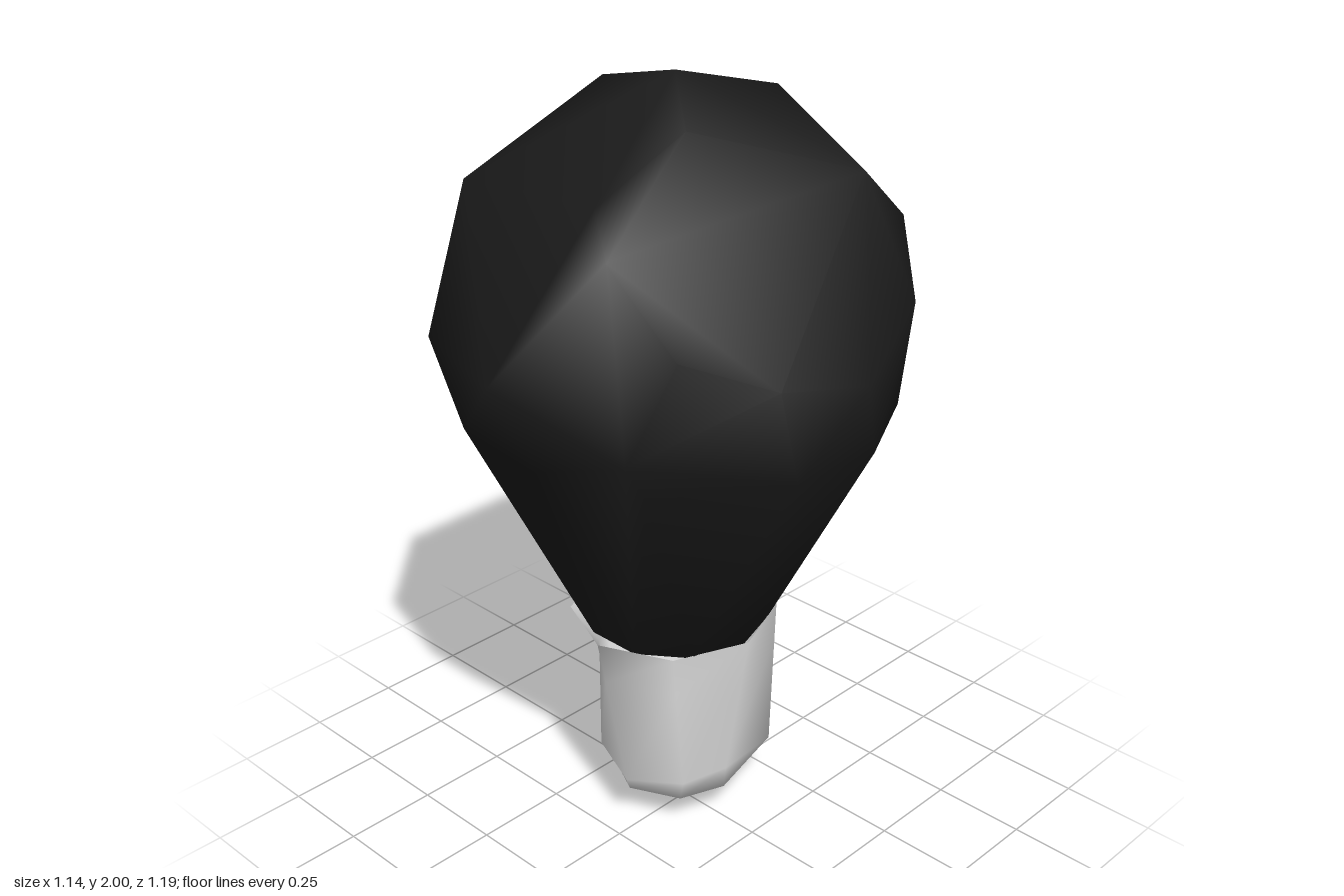
import * as THREE from 'three';
import { ConvexGeometry } from 'three/addons/geometries/ConvexGeometry.js';
import { mergeVertices } from 'three/addons/utils/BufferGeometryUtils.js';

const AXIS = -0.03;

// Skin a stack of cross-sections (bottom to top); a one-point section is a tip.
function skin(sections) {
  const positions = [], index = [], starts = [];
  for (const s of sections) {
    starts.push(positions.length / 3);
    for (const p of s) positions.push(...p);
  }
  for (let i = 0; i < sections.length - 1; i++) {
    const lo = sections[i].length, hi = sections[i + 1].length;
    for (let j = 0; j < Math.max(lo, hi); j++) {
      const a = starts[i] + j % lo, b = starts[i] + (j + 1) % lo;
      const d = starts[i + 1] + j % hi, c = starts[i + 1] + (j + 1) % hi;
      if (a !== b) index.push(a, d, b);
      if (c !== d) index.push(b, d, c);
    }
  }
  const g = new THREE.BufferGeometry();
  g.setAttribute('position', new THREE.Float32BufferAttribute(positions, 3));
  g.setIndex(index);
  g.computeVertexNormals();
  return g;
}

// Smooth-shaded faceted hull around a few points
function smoothHull(points) {
  const hull = new ConvexGeometry(points.map((p) => new THREE.Vector3(...p)));
  hull.deleteAttribute('normal');
  const g = mergeVertices(hull, 1e-4);
  g.computeVertexNormals();
  return g;
}

// Regular loop of n points at height y
function loop(n, y, cx, rx, rz) {
  return Array.from({ length: n }, (_, i) => {
    const a = i * Math.PI * 2 / n;
    return [cx + Math.cos(a) * rx, y, Math.sin(a) * rz];
  });
}

// Loop of [x, z] pairs at height y
const atHeight = (y, xz) => xz.map(([x, z]) => [x, y, z]);

export function createModel() {
  const group = new THREE.Group();
  group.name = 'lightBulb';
  const darkGlass = new THREE.MeshStandardMaterial({ color: 0x1b1b1b });
  darkGlass.name = 'dark glass';
  const paleMetal = new THREE.MeshStandardMaterial({ color: 0xe4e4e4, side: THREE.DoubleSide });
  paleMetal.name = 'pale metal';

  // Coarse round head of the glass
  const crown = [
    [AXIS, 2, 0], [-0.26, 1.95, 0.01], [0.08, 1.945, -0.23], [0.13, 1.915, 0.13],
  ];
  const shoulder = [
    [0.36, 1.8, -0.214], [0.12, 1.8, 0.4], [0.2, 1.71, 0.445], [-0.37, 1.75, 0.355],
    [-0.37, 1.75, -0.335], [0.29, 1.62, -0.46],
  ];
  const belly = [
    [0.57, 1.4, 0], [0.51, 1.44, 0.23], [0.37, 1.52, 0.405], [0.30, 1.28, 0.495],
    [-0.03, 1.4, 0.597], [-0.36, 1.4, 0.495], [-0.57, 1.52, 0.23], [-0.57, 1.52, -0.23],
    [-0.44, 1.28, -0.415], [-0.03, 1.4, -0.597], [0.51, 1.52, -0.23],
  ];
  // Neck tapering down into the socket
  const neck = [
    ...atHeight(1.18, [[0.51, -0.107], [0.49, 0.14], [0.30, 0.434], [0.02, 0.51],
      [-0.275, 0.473], [-0.54, 0.19], [-0.53, -0.25], [-0.37, -0.4], [-0.1, -0.51],
      [0.15, -0.51], [0.38, -0.36]]),
    ...loop(10, 0.575, AXIS, 0.24, 0.24),
  ];
  const bulb = new THREE.Mesh(smoothHull([...crown, ...shoulder, ...belly, ...neck]), darkGlass);
  bulb.name = 'bulb';

  // Tapered, slightly crooked socket with a pointed contact underneath
  const foot = atHeight(0.16, [[0.152, 0], [0.12, 0.13], [0, 0.22], [-0.17, 0.15],
    [-0.28, 0], [-0.21, -0.1], [-0.06, -0.175], [0.14, -0.185]]);
  const rim = loop(8, 0.585, -0.04, 0.265, 0.275);
  // Just below the rim one corner is set back, leaving a small overhang
  const throat = foot.map((p, i) => p.map((v, k) => v + (rim[i][k] - v) * 0.73));
  throat[3] = [-0.19, 0.47, 0.13];
  const socket = new THREE.Mesh(skin([
    [[AXIS, 0, 0]],
    atHeight(0.097, [[0.145, 0], [0.1, 0.12], [-0.03, 0.18], [-0.15, 0.12],
      [-0.19, 0], [-0.14, -0.1], [-0.03, -0.178], [0.1, -0.14]]),
    foot, throat, rim,
  ]), paleMetal);
  socket.name = 'socket';

  group.add(bulb, socket);
  return group;
}
